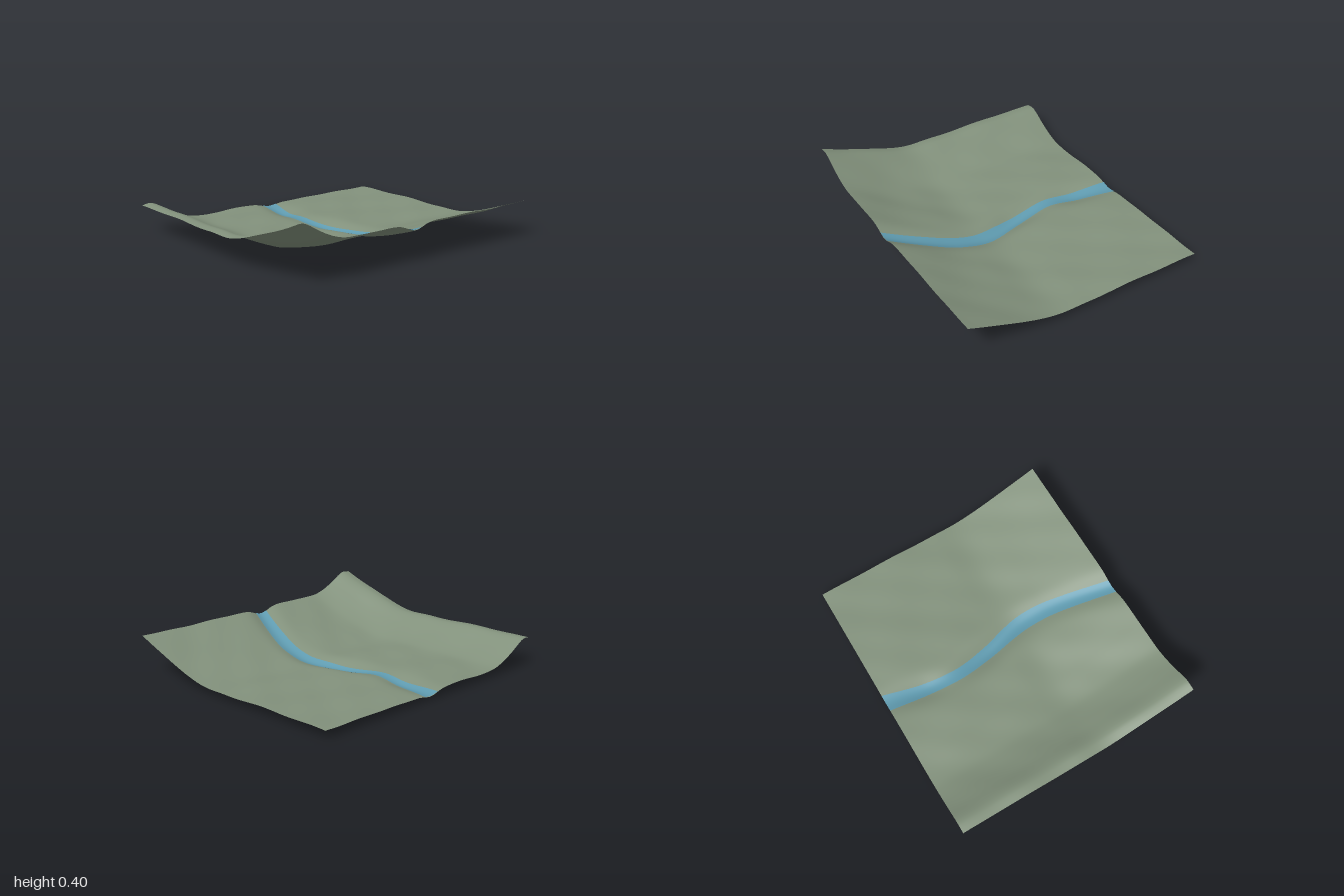
import * as THREE from 'three';

// Smooth curve through [position, value] keys (Hermite, finite-difference slopes)
function curve(keys) {
  const slope = (i) => {
    const a = keys[Math.max(i - 1, 0)], b = keys[Math.min(i + 1, keys.length - 1)];
    return (b[1] - a[1]) / (b[0] - a[0]);
  };
  return (p) => {
    let i = 0;
    while (i < keys.length - 2 && p > keys[i + 1][0]) i++;
    const [x0, y0] = keys[i], [x1, y1] = keys[i + 1], w = x1 - x0;
    const t = THREE.MathUtils.clamp((p - x0) / w, 0, 1), t2 = t * t, t3 = t2 * t;
    return (2 * t3 - 3 * t2 + 1) * y0 + (t3 - 2 * t2 + t) * w * slope(i)
      + (3 * t2 - 2 * t3) * y1 + (t3 - t2) * w * slope(i + 1);
  };
}

const HALF_X = 1, HALF_Z = 0.875;

// Valley profile across x, with a bank along the left border
const across = curve([[-1, 0.195], [-0.925, 0.2], [-0.8, 0.137], [-0.7, 0.092], [-0.6, 0.064],
  [-0.4, 0.06], [-0.2, 0.062], [0.2, 0.056], [0.6, 0.055], [1, 0.06]]);
// Rise towards the front
const along = curve([[-0.875, 0], [-0.6, 0.002], [0, 0], [0.2, 0], [0.4, 0.044], [0.6, 0.103], [0.875, 0.208]]);
// River centre, width and bed depth along z
const centre = curve([[-0.875, 0.065], [-0.6, 0.015], [-0.35, -0.01], [-0.1, 0.025], [0.2, 0.087],
  [0.4, 0.08], [0.6, 0.03], [0.875, -0.06]]);
const width = curve([[-0.875, 0.125], [-0.6, 0.09], [-0.35, 0.08], [-0.1, 0.09], [0.2, 0.115], [0.875, 0.1]]);
const depth = curve([[-0.875, 0.028], [-0.6, 0.036], [-0.4, 0.022], [-0.2, 0.04], [0, 0.052],
  [0.2, 0.036], [0.5, 0.034], [0.875, 0.038]]);

function height(x, z) {
  const ripple = 0.0025 * Math.sin(9 * x + 5 * z + 1) + 0.002 * Math.sin(13 * z - 7 * x)
    + 0.0015 * Math.sin(19 * x + 14 * z);
  const d = (x - centre(z)) / 0.085;
  return across(x) + along(z) + ripple - depth(z) * Math.exp(-d * d);
}

// Horizontal grid whose vertices are moved by a rule
function sheet(nx, nz, rule) {
  const g = new THREE.PlaneGeometry(2 * HALF_X, 2 * HALF_Z, nx, nz).rotateX(-Math.PI / 2);
  const p = g.attributes.position;
  for (let i = 0; i < p.count; i++) p.setXYZ(i, ...rule(p.getX(i), p.getZ(i)));
  g.computeVertexNormals();
  return g;
}

export function createModel() {
  const model = new THREE.Group();
  model.name = 'riverValley';

  const grass = new THREE.MeshStandardMaterial({ color: 0x82917c, side: THREE.DoubleSide });
  grass.name = 'sage green';
  const water = new THREE.MeshStandardMaterial({ color: 0x5f9bb0, side: THREE.DoubleSide });
  water.name = 'river blue';

  // Ground surface
  const ground = new THREE.Mesh(sheet(80, 70, (x, z) => [x, height(x, z), z]), grass);
  ground.name = 'ground';

  // River ribbon lying just above its bed
  const river = new THREE.Mesh(sheet(8, 70, (u, z) => {
    const x = centre(z) + u * width(z) / 2;
    return [x, height(x, z) + 0.004, z];
  }), water);
  river.name = 'river';

  model.add(ground, river);

  // Rest the lowest point on y = 0
  const low = new THREE.Box3().setFromObject(model).min.y;
  model.children.forEach((m) => m.geometry.translate(0, -low, 0));
  return model;
}
